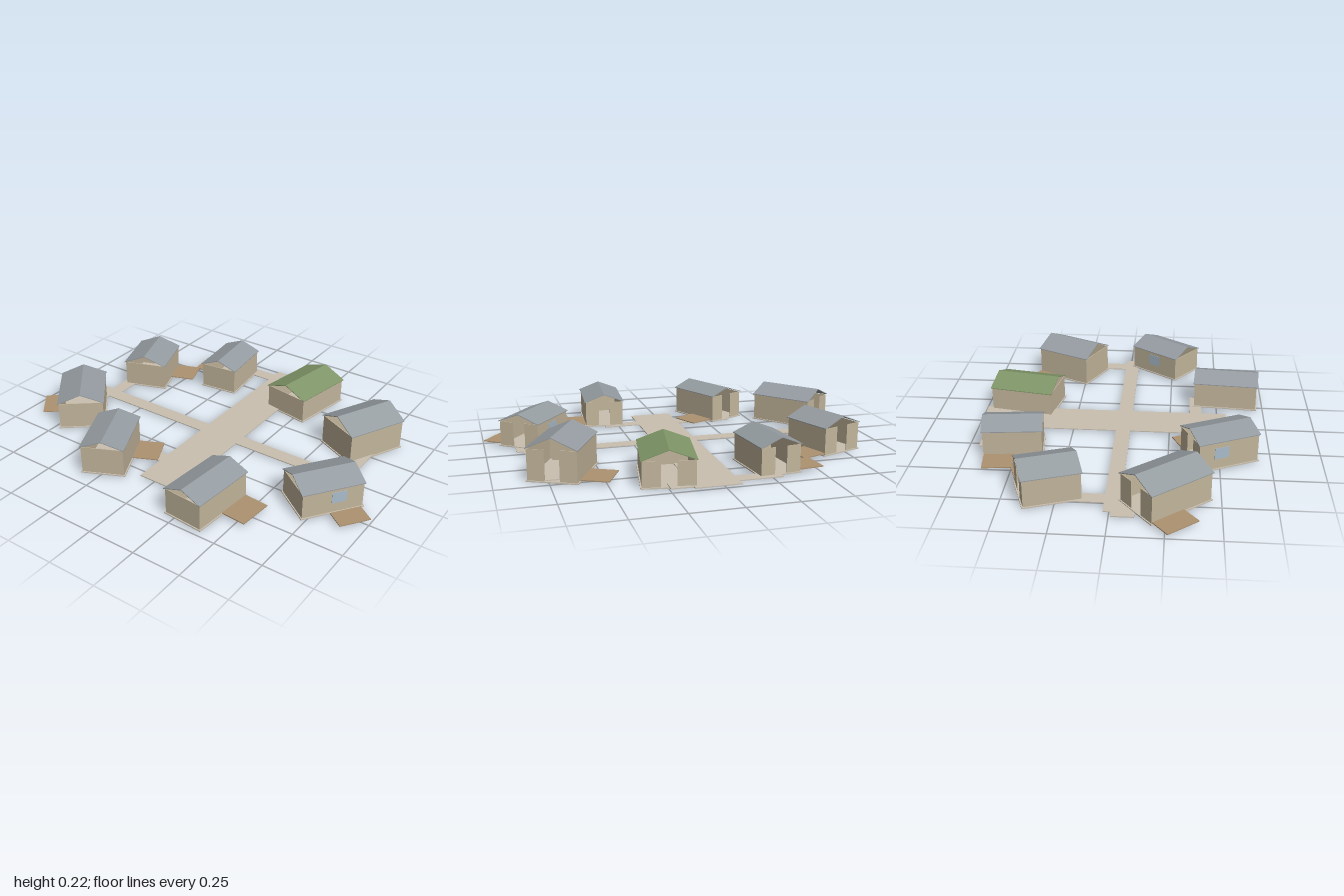
import * as THREE from 'three';

const mat = (color) => new THREE.MeshStandardMaterial({ color, side: THREE.DoubleSide, flatShading: true });
const wallMat = mat(0xc2b59b), roofMat = mat(0x959ca1), greenMat = mat(0x7f9668);
const deckMat = mat(0xad9270), pathMat = mat(0xc9c0b1), glassMat = mat(0xa9bccb);

const T = 0.004; // sheet thickness

function box(name, w, h, d, x, y, z, material, parent) {
  const mesh = new THREE.Mesh(new THREE.BoxGeometry(w, h, d), material);
  mesh.name = name;
  mesh.position.set(x, y, z);
  parent.add(mesh);
  return mesh;
}

// Two thin sloping sheets with open gables
function gableRoof(w, length, eave, ridge, material) {
  const s = new THREE.Shape();
  s.moveTo(-w / 2, eave);
  s.lineTo(0, ridge);
  s.lineTo(w / 2, eave);
  s.lineTo(w / 2, eave - T);
  s.lineTo(0, ridge - T);
  s.lineTo(-w / 2, eave - T);
  s.closePath();
  const geo = new THREE.ExtrudeGeometry(s, { depth: length, bevelEnabled: false });
  geo.translate(0, 0, -length / 2);
  const mesh = new THREE.Mesh(geo, material);
  mesh.name = 'roof';
  return mesh;
}

function house({ x, z, w, l, angle, base, eave, ridge, roof = roofMat, windows = [] }) {
  const g = new THREE.Group();
  g.name = 'house';
  g.position.set(x, 0, z);
  g.rotation.y = angle;

  const iw = w - 0.012, il = l - 0.012; // wall footprint, just inside the roof
  const h = eave - base, cy = base + h / 2;
  box('floor', w, 0.006, l, 0, base - 0.003, 0, pathMat, g);
  for (const s of [-1, 1]) box('sideWall', T, h, il, s * (iw - T) / 2, cy, 0, wallMat, g);
  box('frontWall', iw, h, T, 0, cy, (il - T) / 2, wallMat, g);

  // Back wall in two halves with a full-height doorway between
  const part = iw * 0.35;
  for (const s of [-1, 1]) {
    box('backWall', part, h, T, s * (iw - part) / 2, cy, -(il - T) / 2, wallMat, g);
  }
  for (const [side, wz] of windows) {
    box('window', T, 0.058, 0.075, side * iw / 2, 0.093, wz, glassMat, g);
  }
  g.add(gableRoof(w, l, eave + T, ridge, roof));
  return g;
}

export function createModel() {
  const model = new THREE.Group();
  model.name = 'village';

  // Paths: x0, x1, z0, z1
  const paths = new THREE.Group();
  paths.name = 'paths';
  model.add(paths);
  const strips = [
    [-0.08, 0.143, -0.743, 0.547],
    [-0.83, -0.08, -0.027, 0.048], [0.143, 0.815, -0.027, 0.048],
    [-0.865, -0.72, 0.01, 0.115], [0.72, 0.848, 0.01, 0.09],
    [-0.76, -0.69, -0.2, -0.027], [0.695, 0.768, -0.46, -0.027],
    [-0.294, -0.08, -0.7, -0.63], [0.143, 0.248, -0.723, -0.65],
    [-0.374, -0.08, 0.328, 0.398], [0.143, 0.33, 0.353, 0.418],
  ];
  for (const [x0, x1, z0, z1] of strips) {
    box('path', x1 - x0, 0.005, z1 - z0, (x0 + x1) / 2, 0.0095, (z0 + z1) / 2, pathMat, paths);
  }

  // Houses in a ring, each with an optional deck: [x, z, width, length]
  const houses = [
    { x: -0.674, z: -0.294, w: 0.24, l: 0.28, angle: 0.34, base: 0.012, eave: 0.145, ridge: 0.197, deck: [-0.524, -0.412, 0.132, 0.147] },
    { x: -0.278, z: -0.521, w: 0.214, l: 0.3, angle: 0.107, base: 0.012, eave: 0.143, ridge: 0.19, deck: [-0.449, -0.572, 0.127, 0.147] },
    { x: 0.219, z: -0.529, w: 0.257, l: 0.342, angle: -0.175, base: 0.008, eave: 0.13, ridge: 0.182, roof: greenMat },
    { x: 0.666, z: -0.332, w: 0.25, l: 0.328, angle: -0.456, base: 0.006, eave: 0.155, ridge: 0.215, deck: [0.519, -0.484, 0.134, 0.167] },
    { x: 0.738, z: 0.209, w: 0.23, l: 0.317, angle: -0.63, base: 0.016, eave: 0.14, ridge: 0.187, windows: [[1, -0.03], [-1, 0]], deck: [0.912, 0.262, 0.1, 0.155] },
    { x: 0.318, z: 0.551, w: 0.215, l: 0.344, angle: -0.08, base: 0.015, eave: 0.145, ridge: 0.19, deck: [0.492, 0.492, 0.127, 0.177] },
    { x: -0.305, z: 0.497, w: 0.222, l: 0.326, angle: 0.44, base: 0.013, eave: 0.152, ridge: 0.194, windows: [[-1, -0.04]], deck: [-0.176, 0.364, 0.13, 0.155] },
    { x: -0.722, z: 0.249, w: 0.243, l: 0.347, angle: 0.687, base: 0.016, eave: 0.153, ridge: 0.207, deck: [-0.898, 0.294, 0.115, 0.175] },
  ];
  for (const spec of houses) {
    model.add(house(spec));
    if (spec.deck) {
      const [dx, dz, dw, dl] = spec.deck;
      box('deck', dw, 0.005, dl, dx, 0.02, dz, deckMat, model).rotation.y = spec.angle;
    }
  }
  return model;
}
